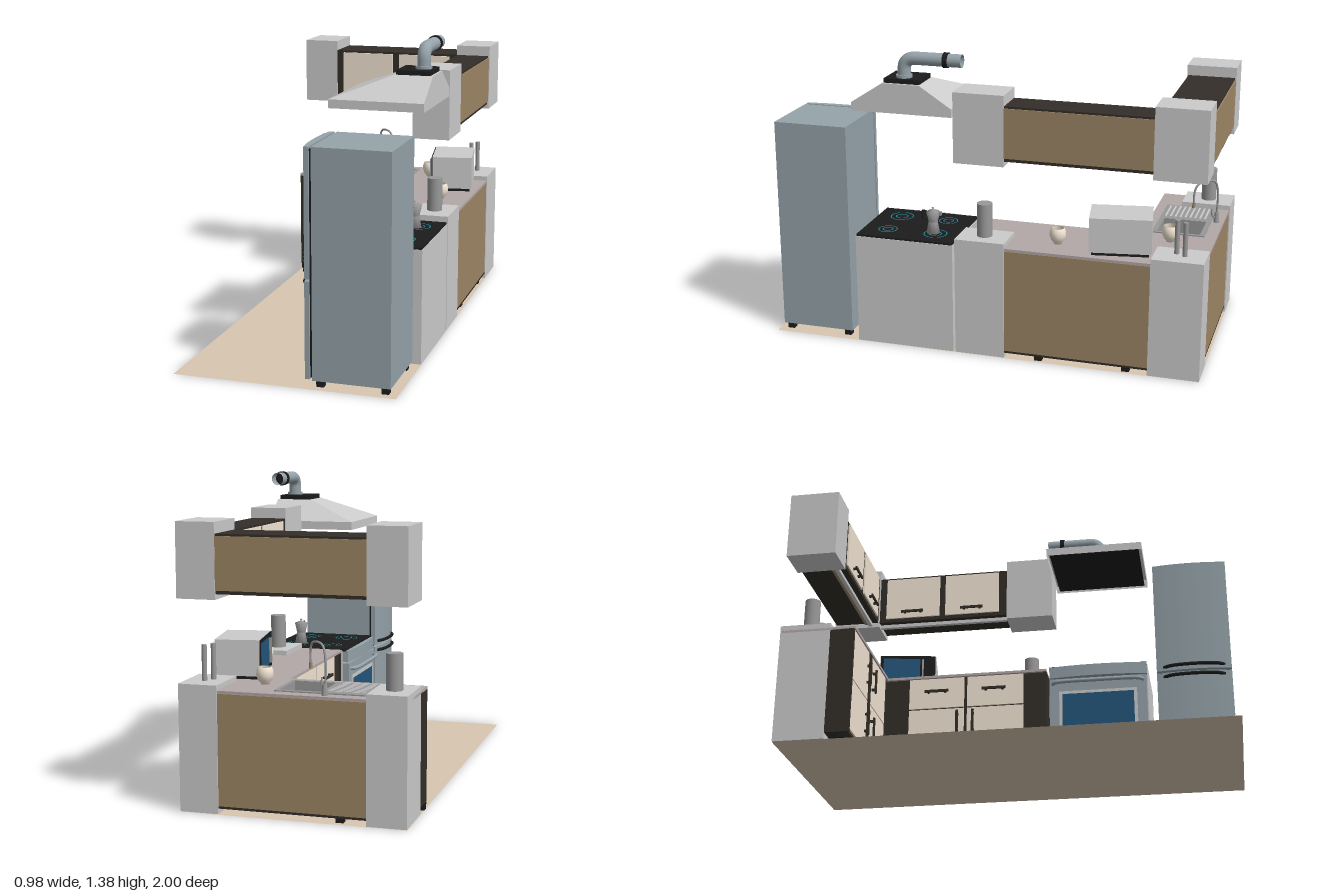
import * as THREE from 'three';

const C = { grey: 0xcccccc, dark: 0x332e29, black: 0x1c1c1c, cream: 0xf3e6d4, brown: 0x9e8665, steel: 0x95a3aa,
  counter: 0xb4a8a8, floor: 0xd8c6b0, glass: 0x24557c, metal: 0x999999, cyan: 0x1e8c9c };
const mats = {};
const mat = (c) => (mats[c] ??= new THREE.MeshStandardMaterial({ color: C[c], side: THREE.DoubleSide }));

function add(parent, name, geo, color, x = 0, y = 0, z = 0) {
  const m = new THREE.Mesh(geo, mat(color));
  m.name = name;
  m.position.set(x, y, z);
  parent.add(m);
  return m;
}
// box given by its limits
const box = (p, name, color, x0, x1, y0, y1, z0, z1) =>
  add(p, name, new THREE.BoxGeometry(x1 - x0, y1 - y0, z1 - z0), color, (x0 + x1) / 2, (y0 + y1) / 2, (z0 + z1) / 2);
const cyl = (p, name, color, r, y0, y1, x, z, r2 = r) =>
  add(p, name, new THREE.CylinderGeometry(r2, r, y1 - y0, 24), color, x, (y0 + y1) / 2, z);
const V = (...a) => new THREE.Vector3(...a);
const tube = (p, name, color, r, pts) =>
  add(p, name, new THREE.TubeGeometry(new THREE.CatmullRomCurve3(pts.map((q) => V(...q))), 40, r, 12), color);
const lathe = (p, name, color, pts, x, y, z, n = 28) =>
  add(p, name, new THREE.LatheGeometry(pts.map((q) => new THREE.Vector2(...q)), n), color, x, y, z);
function group(parent, name) {
  const g = new THREE.Group();
  g.name = name;
  parent.add(g);
  return g;
}

// bar handle on a face looking along +z
function handle(p, x, y, z, vertical) {
  const g = group(p, 'barHandle');
  box(g, 'bar', 'dark', -0.057, 0.057, -0.006, 0.006, 0.014, 0.022);
  for (const s of [-0.04, 0.04]) box(g, 'standoff', 'dark', s - 0.005, s + 0.005, -0.005, 0.005, 0, 0.015);
  g.position.set(x, y, z);
  if (vertical) g.rotation.z = Math.PI / 2;
}
// slab with a bulging front, upright along y
function bulged(p, name, color, x0, x1, y0, y1, zBack, zFront) {
  const s = new THREE.Shape(), e = zBack + (zFront - zBack) * 0.6;
  s.moveTo(x0, -zBack);
  s.lineTo(x0, -e);
  s.quadraticCurveTo((x0 + x1) / 2, -(2 * zFront - e), x1, -e);
  s.lineTo(x1, -zBack);
  const g = new THREE.ExtrudeGeometry(s, { depth: y1 - y0, bevelEnabled: false, curveSegments: 16 });
  return add(p, name, g.rotateX(-Math.PI / 2), color, 0, y0, 0);
}

// wall cabinet: carcass, back panel, two doors, light rail
function wallCabinet(p, x0, x1, z0, z1, doors) {
  const g = group(p, 'wallCabinet');
  box(g, 'carcass', 'dark', x0, x1, 0.925, 1.172, z0 + 0.006, z1 - 0.012);
  box(g, 'backPanel', 'brown', x0, x1, 0.94, 1.163, z0, z0 + 0.006);
  box(g, 'lightRail', 'grey', x0, x1, 0.908, 0.925, z1 - 0.06, z1 - 0.04);
  box(g, 'lightStrip', 'brown', x0, x1, 0.918, 0.925, z1 - 0.08, z1 - 0.065);
  for (const [a, b] of doors) {
    box(g, 'cabinetDoor', 'cream', a, b, 0.943, 1.162, z1 - 0.012, z1 - 0.004);
    handle(g, (a + b) / 2 + 0.0, 0.97, z1 - 0.004);
  }
}

// cream fronts and handles: [x0, x1, y0, y1, handleX, handleY, vertical]
function fronts(p, z, list) {
  for (const [a, b, c, d, hx, hy, v] of list) {
    box(p, 'cabinetFront', 'cream', a, b, c, d, z - 0.008, z);
    handle(p, hx, hy, z, v);
  }
}

function baseCabinets(root, side) {
  const g = group(root, 'backBaseCabinet');
  box(g, 'backPanel', 'brown', -0.32, 0.32, 0.035, 0.512, -0.995, -0.985);
  box(g, 'backRail', 'dark', -0.32, 0.32, 0.025, 0.035, -0.995, -0.975);
  box(g, 'frontFrame', 'dark', -0.49, 0.13, 0.03, 0.515, -0.682, -0.668);
  box(g, 'endPanel', 'dark', -0.49, -0.475, 0.03, 0.515, -0.77, -0.66);
  box(g, 'bottomPanel', 'dark', -0.48, 0.48, 0.03, 0.045, -0.985, -0.67);
  box(g, 'centrePost', 'dark', -0.22, -0.18, 0.03, 0.515, -0.67, -0.658);
  const rows = [[0.045, 0.274, 0.16], [0.28, 0.51, 0.395]];
  for (const [c, d, hy] of rows)
    fronts(g, -0.66, [[-0.478, -0.223, c, d, -0.248, hy, true], [-0.177, 0.08, c, d, -0.155, hy, true]]);

  const s = group(side, 'sideBaseCabinet');
  box(s, 'backPanel', 'brown', -0.77, -0.11, 0.035, 0.512, -0.487, -0.477);
  box(s, 'backRail', 'dark', -0.77, -0.11, 0.025, 0.035, -0.487, -0.467);
  box(s, 'frontFrame', 'dark', -0.67, 0.11, 0.03, 0.515, -0.14, -0.128);
  box(s, 'endPanel', 'dark', 0.096, 0.11, 0.03, 0.515, -0.32, -0.12);
  box(s, 'bottomPanel', 'dark', -0.67, 0.1, 0.03, 0.045, -0.477, -0.13);
  fronts(s, -0.12, [[-0.55, -0.285, 0.36, 0.51, -0.415, 0.44, false], [-0.27, 0.0, 0.36, 0.51, -0.14, 0.44, false],
    [-0.55, -0.285, 0.045, 0.353, -0.315, 0.28, true], [-0.27, 0.0, 0.045, 0.353, -0.24, 0.28, true]]);
  for (const [x, z] of [[-0.475, -0.69], [-0.2, -0.69], [0.16, -0.67], [0.16, -0.27], [0.46, -0.67], [0.46, -0.27], [0.16, 0.08], [-0.2, -0.96]])
    box(root, 'cabinetFoot', 'black', x - 0.017, x + 0.017, 0.001, 0.03, z - 0.017, z + 0.017);

  // L-shaped worktop with the basin cut out, drawn as (x, -z)
  const rect = (T, x0, x1, z0, z1) => new T([[x0, -z0], [x1, -z0], [x1, -z1], [x0, -z1]].map((q) => new THREE.Vector2(...q)));
  const top = new THREE.Shape([[-0.49, 0.995], [0.487, 0.995], [0.487, -0.11], [0.115, -0.11], [0.115, 0.655], [-0.49, 0.655]].map((q) => new THREE.Vector2(...q)));
  top.holes.push(rect(THREE.Path, -0.11, 0.075, -0.92, -0.72));
  add(root, 'worktop', new THREE.ExtrudeGeometry(top, { depth: 0.012, bevelEnabled: false }).rotateX(-Math.PI / 2), 'counter', 0, 0.513, 0);

  // sink
  const k = group(root, 'sink');
  const rim = rect(THREE.Shape, -0.31, 0.09, -0.94, -0.7);
  rim.holes.push(rect(THREE.Path, -0.11, 0.075, -0.92, -0.72));
  add(k, 'sinkRim', new THREE.ExtrudeGeometry(rim, { depth: 0.005, bevelEnabled: false }).rotateX(-Math.PI / 2), 'metal', 0, 0.525, 0);
  box(k, 'basinFloor', 'metal', -0.11, 0.075, 0.42, 0.424, -0.92, -0.72);
  for (const x of [-0.11, 0.075]) box(k, 'basinSide', 'metal', x - 0.002, x + 0.002, 0.42, 0.529, -0.92, -0.72);
  for (const z of [-0.92, -0.72]) box(k, 'basinEnd', 'metal', -0.11, 0.075, 0.42, 0.529, z - 0.002, z + 0.002);
  cyl(k, 'drain', 'black', 0.018, 0.424, 0.427, -0.02, -0.82);
  for (let i = 0; i < 9; i++) box(k, 'drainRidge', 'grey', -0.29, -0.135, 0.53, 0.534, -0.912 + i * 0.023, -0.904 + i * 0.023);
  cyl(k, 'tapBase', 'metal', 0.014, 0.525, 0.575, -0.135, -0.962, 0.009);
  tube(k, 'tapSpout', 'metal', 0.005, [[-0.138, 0.55, -0.962], [-0.138, 0.68, -0.962], [-0.125, 0.724, -0.95], [-0.09, 0.735, -0.915], [-0.055, 0.722, -0.88], [-0.045, 0.685, -0.868], [-0.045, 0.63, -0.867]]);
  cyl(k, 'tapNozzle', 'brown', 0.007, 0.615, 0.64, -0.045, -0.867);
  tube(k, 'tapLever', 'metal', 0.004, [[-0.13, 0.55, -0.955], [-0.118, 0.56, -0.945], [-0.116, 0.595, -0.94]]);
}

function stove(side) {
  const g = group(side, 'stove');
  box(g, 'stoveBody', 'grey', 0.125, 0.588, 0.002, 0.515, -0.49, -0.115);
  box(g, 'cooktop', 'black', 0.128, 0.585, 0.515, 0.524, -0.487, -0.1);
  for (const [x, z, r] of [[0.24, -0.2, 0.045], [0.47, -0.2, 0.055], [0.24, -0.385, 0.055], [0.47, -0.385, 0.045]])
    for (const f of [1, 0.55])
      add(g, 'burnerRing', new THREE.RingGeometry(r * f - 0.005, r * f, 32).rotateX(-Math.PI / 2), 'cyan', x, 0.5255, z);
  bulged(g, 'controlPanel', 'steel', 0.128, 0.585, 0.462, 0.518, -0.115, -0.075);
  box(g, 'ovenDoor', 'steel', 0.13, 0.583, 0.13, 0.455, -0.115, -0.085);
  box(g, 'windowFrame', 'grey', 0.175, 0.538, 0.17, 0.39, -0.086, -0.081);
  box(g, 'ovenWindow', 'glass', 0.19, 0.523, 0.185, 0.375, -0.082, -0.078);
  box(g, 'lowerDrawer', 'grey', 0.13, 0.583, 0.02, 0.122, -0.115, -0.095);
  tube(g, 'ovenHandle', 'steel', 0.009, [[0.145, 0.43, -0.085], [0.16, 0.43, -0.066], [0.357, 0.43, -0.056], [0.553, 0.43, -0.066], [0.568, 0.43, -0.085]]);
}

function fridge(side) {
  const g = group(side, 'fridge');
  box(g, 'fridgeBody', 'steel', 0.632, 0.978, 0.03, 1.015, -0.462, -0.125);
  box(g, 'doorSeal', 'black', 0.642, 0.968, 0.04, 1.005, -0.125, -0.113);
  bulged(g, 'lowerDoor', 'steel', 0.632, 0.978, 0.035, 0.455, -0.114, -0.08);
  bulged(g, 'upperDoor', 'steel', 0.632, 0.978, 0.465, 1.015, -0.114, -0.08);
  for (const y of [0.436, 0.484])
    tube(g, 'fridgeHandle', 'black', 0.008, [[0.665, y, -0.095], [0.7, y, -0.074], [0.805, y, -0.063], [0.91, y, -0.074], [0.945, y, -0.095]]);
  for (const x of [0.66, 0.95]) for (const z of [-0.435, -0.155])
    box(g, 'fridgeFoot', 'black', x - 0.016, x + 0.016, 0.001, 0.03, z - 0.016, z + 0.016);
}

function hood(root) {
  const g = group(root, 'extractorHood');
  // four-sided rings [x0, x1, z0, z1, y], open below
  const rings = [[0.07, 0.49, 0.122, 0.586, 1.105], [0.07, 0.49, 0.122, 0.586, 1.143], [0.32, 0.49, 0.268, 0.436, 1.238]];
  const pos = [], idx = [];
  for (const [a, b, c, d, y] of rings) pos.push(a, y, c, a, y, d, b, y, d, b, y, c);
  for (let r = 0; r < 2; r++) for (let i = 0; i < 4; i++) {
    const a = r * 4 + i, b = r * 4 + ((i + 1) % 4);
    idx.push(a, b, b + 4, a, b + 4, a + 4);
  }
  idx.push(8, 9, 10, 8, 10, 11);
  let geo = new THREE.BufferGeometry();
  geo.setAttribute('position', new THREE.Float32BufferAttribute(pos, 3));
  geo.setIndex(idx);
  geo = geo.toNonIndexed();
  geo.computeVertexNormals();
  add(g, 'canopy', geo, 'grey');
  box(g, 'filter', 'black', 0.085, 0.478, 1.11, 1.118, 0.137, 0.571);
  box(g, 'ductMount', 'black', 0.328, 0.478, 1.236, 1.258, 0.27, 0.434);
  cyl(g, 'ductFlange', 'steel', 0.036, 1.258, 1.27, 0.43, 0.355);
  const path = new THREE.CurvePath();
  path.add(new THREE.LineCurve3(V(0.43, 1.26, 0.355), V(0.43, 1.295, 0.355)));
  path.add(new THREE.QuadraticBezierCurve3(V(0.43, 1.295, 0.355), V(0.43, 1.345, 0.355), V(0.43, 1.345, 0.3)));
  path.add(new THREE.LineCurve3(V(0.43, 1.345, 0.3), V(0.43, 1.345, 0.088)));
  add(g, 'duct', new THREE.TubeGeometry(path, 48, 0.029, 24), 'steel');
  const c = add(g, 'ductCollar', new THREE.CylinderGeometry(0.034, 0.034, 0.022, 24), 'black', 0.43, 1.345, 0.16);
  c.rotation.x = Math.PI / 2;
}

function microwave(root) {
  const g = group(root, 'microwave');
  box(g, 'casing', 'grey', -0.137, 0.137, 0.015, 0.172, -0.1, 0.095);
  box(g, 'frontPlate', 'black', -0.135, 0.135, 0.018, 0.17, 0.095, 0.1);
  box(g, 'doorWindow', 'glass', -0.12, 0.06, 0.035, 0.155, 0.1, 0.102);
  box(g, 'doorHandle', 'metal', 0.07, 0.078, 0.04, 0.15, 0.1, 0.112);
  box(g, 'base', 'black', -0.125, 0.125, 0, 0.015, -0.09, 0.09);
  g.position.set(0.346, 0.526, -0.611);
  g.rotation.y = -Math.PI / 2 + 0.165;
}

function tableware(root) {
  const bowl = [[0, 0], [0.018, 0], [0.018, 0.005], [0.03, 0.018], [0.037, 0.038], [0.036, 0.058], [0.03, 0.074], [0.027, 0.074], [0.033, 0.056], [0.033, 0.038], [0.02, 0.014], [0, 0.01]];
  lathe(root, 'bowl', 'cream', bowl, 0.35, 0.525, -0.325);
  lathe(root, 'bowl', 'cream', bowl, 0.18, 0.525, -0.8);
  // stovetop coffee pot
  const g = group(root, 'coffeePot');
  lathe(g, 'potBody', 'metal', [[0, 0], [0.032, 0], [0.023, 0.05], [0.023, 0.058], [0.033, 0.1], [0.005, 0.112], [0.006, 0.12], [0, 0.122]], 0, 0, 0, 8);
  tube(g, 'potHandle', 'black', 0.004, [[0, 0.098, 0.028], [0, 0.1, 0.05], [0, 0.06, 0.046]]);
  box(g, 'potSpout', 'metal', -0.006, 0.006, 0.085, 0.103, -0.04, -0.025);
  g.position.set(0.37, 0.525, 0.255);
}

export function createModel() {
  const root = new THREE.Group();
  root.name = 'kitchen';
  // local x runs along world z, local +z faces world -x
  const side = group(root, 'sideRun');
  side.rotation.y = -Math.PI / 2;

  add(root, 'floor', new THREE.PlaneGeometry(0.98, 2).rotateX(-Math.PI / 2), 'floor');

  // plain corner and end blocks, below and above
  for (const [x0, x1, z0, z1] of [[-0.49, -0.32, -1, -0.77], [0.32, 0.49, -1, -0.77], [0.32, 0.49, -0.115, 0.115]]) {
    box(root, 'baseBlock', 'grey', x0, x1, 0.002, 0.547, z0, z1);
    box(root, 'wallBlock', 'grey', x0, x1, 0.902, 1.22, z0, z1);
  }
  baseCabinets(root, side);
  wallCabinet(root, -0.32, 0.32, -0.998, -0.765, [[-0.285, -0.02], [0.015, 0.28]]);
  wallCabinet(side, -0.77, -0.115, -0.487, -0.312, [[-0.735, -0.46], [-0.43, -0.155]]);
  stove(side);
  fridge(side);
  hood(root);
  microwave(root);

  // posts on the blocks
  cyl(root, 'wideTube', 'metal', 0.035, 0.547, 0.7, -0.407, -0.885);
  cyl(root, 'wideTube', 'metal', 0.035, 0.547, 0.7, 0.4, 0);
  cyl(root, 'thinTube', 'metal', 0.011, 0.547, 0.7, 0.385, -0.865);
  cyl(root, 'thinTube', 'metal', 0.011, 0.547, 0.7, 0.41, -0.905);
  tableware(root);
  return root;
}
